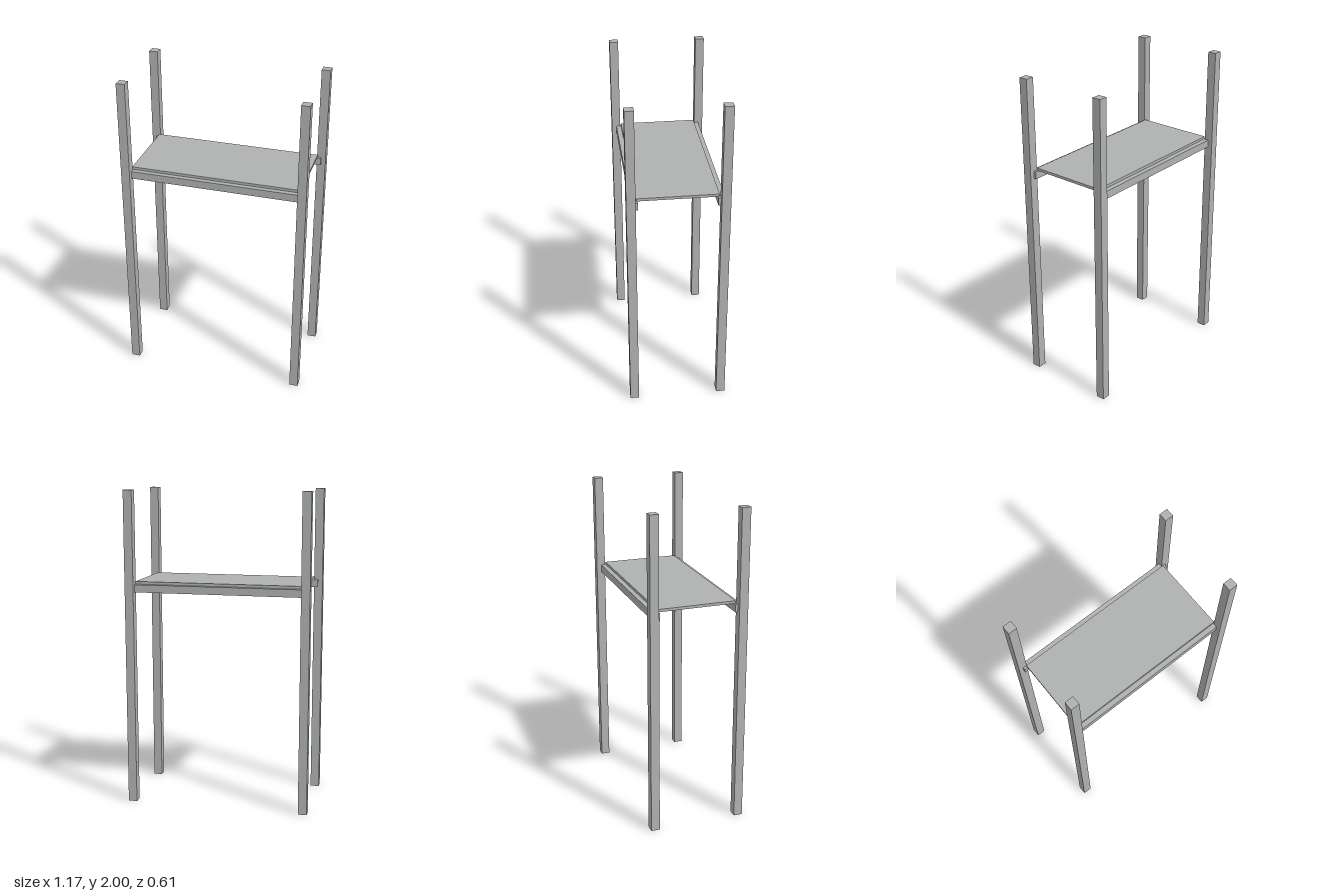
import * as THREE from 'three';

export function createModel() {
  const model = new THREE.Group();
  model.name = 'shelfFrame';

  const greyMetal = new THREE.MeshStandardMaterial({ color: 0xb0b2b1 });
  greyMetal.name = 'grey metal';

  const addBox = (name, w, h, d, x, y, z) => {
    const mesh = new THREE.Mesh(new THREE.BoxGeometry(w, h, d), greyMetal);
    mesh.name = name;
    mesh.position.set(x, y, z);
    model.add(mesh);
  };

  const post = 0.055;
  const railHeight = 0.048;
  const railDepth = 0.041;
  const shelfThickness = 0.017;
  const shelfTop = 1.43;
  const shelfBottom = shelfTop - shelfThickness;

  for (const front of [1, -1]) {
    const end = front > 0 ? 'front' : 'back';

    // Full-height corner posts
    for (const left of [1, -1]) {
      const side = left > 0 ? 'Left' : 'Right';
      addBox(end + side + 'Post', post, 2, post, left * 0.5555, 1, front * 0.2785);
    }

    // Long rail let into the posts, carrying the shelf
    addBox(end + 'Rail', 1.11, railHeight, railDepth, 0, shelfBottom - railHeight / 2, front * 0.256);
  }

  // Shelf panel resting on the rails
  addBox('shelf', 1.066, shelfThickness, 0.49, 0, shelfTop - shelfThickness / 2, 0);

  return model;
}
